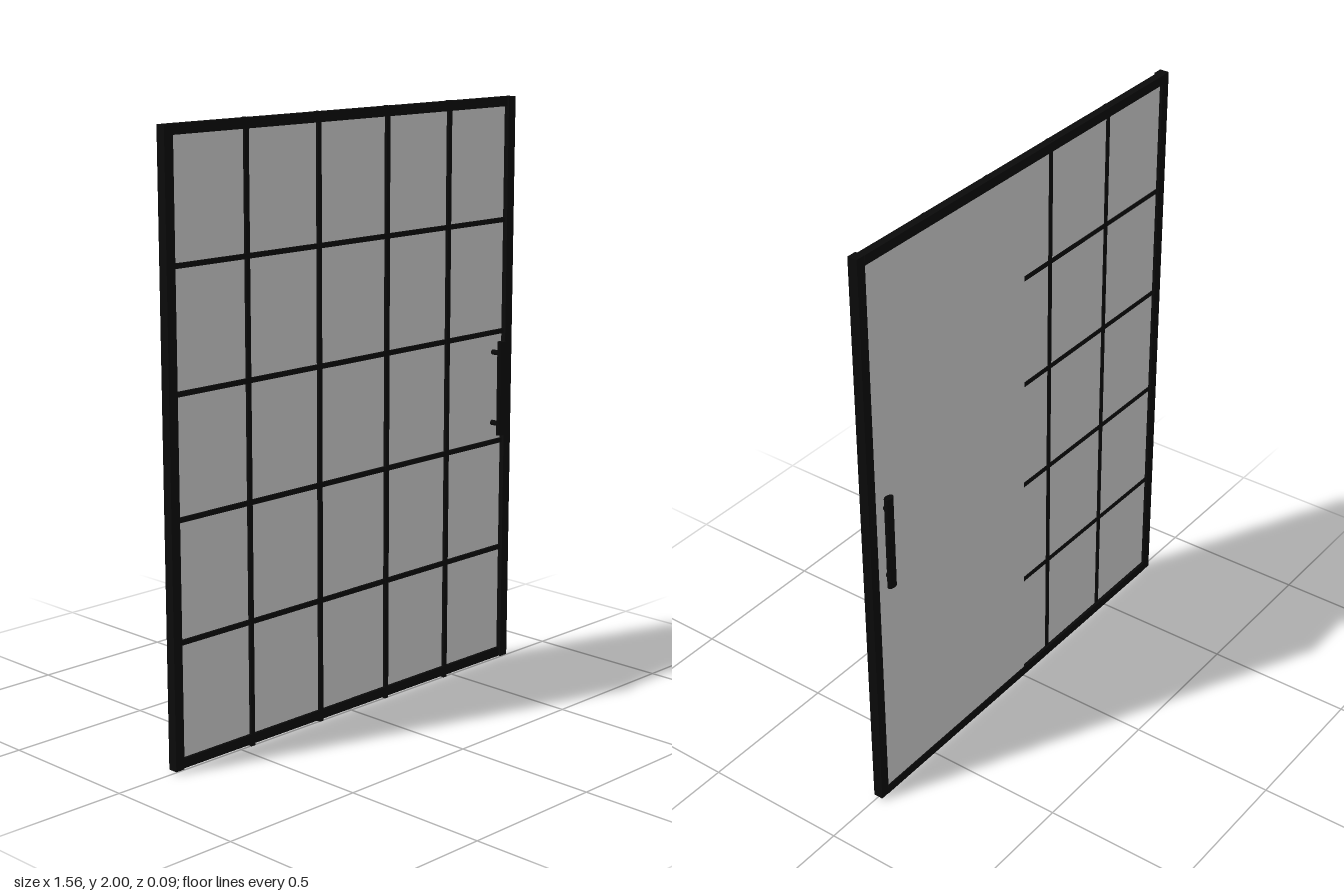
import * as THREE from 'three';

const black = new THREE.MeshStandardMaterial({ color: 0x0a0a0a });
const glass = new THREE.MeshStandardMaterial({ color: 0xcccccc });

// Box given by its limits on each axis
function slab(parent, name, [x0, x1], [y0, y1], [z0, z1], material = black) {
  const mesh = new THREE.Mesh(new THREE.BoxGeometry(x1 - x0, y1 - y0, z1 - z0), material);
  mesh.position.set((x0 + x1) / 2, (y0 + y1) / 2, (z0 + z1) / 2);
  mesh.name = name;
  parent.add(mesh);
}

export function createModel() {
  const model = new THREE.Group();
  model.name = 'glassDoorScreen';

  // Outer frame: deeper side stiles, shallower rails
  const frame = new THREE.Group();
  frame.name = 'frame';
  const stileZ = [-0.021, 0.012], railZ = [-0.022, 0.005];
  slab(frame, 'leftStile', [0.748, 0.782], [0.008, 1.998], stileZ);
  slab(frame, 'rightStile', [-0.782, -0.748], [0.008, 1.998], stileZ);
  slab(frame, 'topRail', [-0.75, 0.75], [1.966, 1.998], railZ);
  slab(frame, 'bottomRail', [-0.75, 0.75], [0.008, 0.04], railZ);
  model.add(frame);

  // Glazing bars
  const bars = new THREE.Group();
  bars.name = 'glazingBars';
  const h = 0.008, barZ = [-0.015, 0.004];
  for (const x of [-0.45, -0.143, 0.167, 0.463]) {
    slab(bars, 'verticalBar', [x - h, x + h], [0, 2], barZ);
  }
  for (const y of [0.415, 0.804, 1.193, 1.58]) {
    slab(bars, 'horizontalBar', [-0.75, 0.75], [y - h, y + h], [-0.014, 0.003]);
  }
  model.add(bars);

  // Fixed pane sits between the bars, door pane covers their backs
  slab(model, 'fixedPane', [-0.75, 0.002], [0.02, 1.98], [-0.011, -0.005], glass);
  slab(model, 'doorPane', [0, 0.75], [0.02, 1.98], [-0.018, -0.006], glass);

  // Pull handle on both faces, joined by through posts
  const handle = new THREE.Group();
  handle.name = 'handle';
  for (const side of [-1, 1]) {
    const grip = new THREE.Mesh(new THREE.CylinderGeometry(0.018, 0.018, 0.33, 32), black);
    grip.scale.z = 0.62;
    grip.position.set(0, 1, side * 0.034);
    grip.name = side > 0 ? 'frontGrip' : 'backGrip';
    handle.add(grip);
  }
  for (const y of [0.873, 1.123]) {
    const post = new THREE.Mesh(new THREE.CylinderGeometry(0.009, 0.009, 0.068, 20), black);
    post.rotation.x = Math.PI / 2;
    post.position.y = y;
    post.name = 'handlePost';
    handle.add(post);
  }
  handle.position.x = 0.704;
  model.add(handle);

  return model;
}
